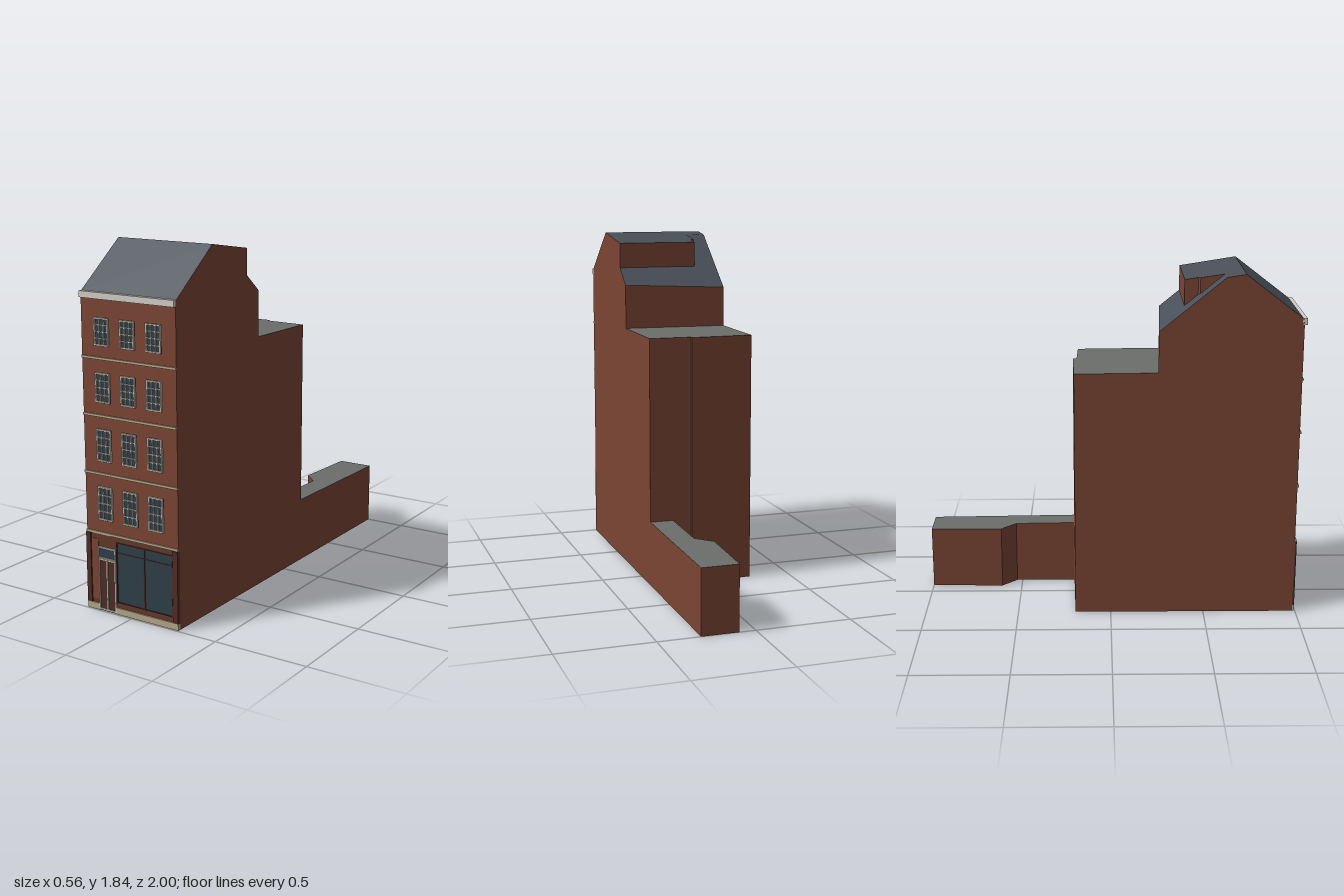
import * as THREE from 'three';
import { mergeGeometries } from 'three/addons/utils/BufferGeometryUtils.js';

const material = (color) => new THREE.MeshStandardMaterial({ color, flatShading: true });
const brick = material(0x7b4534), slate = material(0x4a5059), flatRoof = material(0x6b6e6b);
const stone = material(0xb5a788), cream = material(0xd2d0c6), glass = material(0x2f3f48);
const darkWood = material(0x4f2c24), shopBrick = material(0x64382b);

const FACE = 0.985; // plane of the street front
const HALF = 0.28;

function toMesh(name, positions, mat) {
  const g = new THREE.BufferGeometry();
  g.setAttribute('position', new THREE.Float32BufferAttribute(positions, 3));
  g.computeVertexNormals();
  const m = new THREE.Mesh(g, mat);
  m.name = name;
  return m;
}

// Block over a plan of [x, z] corners (anticlockwise from above), with sloping
// top and bottom given as heights by z; edges listed in "open" get no wall.
function block(name, plan, top, bottom, roofMat, open = []) {
  const walls = [], roof = [];
  const at = (i, height) => {
    const [x, z] = plan[i % plan.length];
    return [x, height(z), z];
  };
  plan.forEach((_, i) => {
    if (open.includes(i)) return;
    const a = at(i, bottom), b = at(i + 1, bottom), c = at(i + 1, top), d = at(i, top);
    walls.push(...a, ...b, ...c, ...a, ...c, ...d);
  });
  const outline = plan.map(([x, z]) => new THREE.Vector2(x, -z));
  for (const [i, j, k] of THREE.ShapeUtils.triangulateShape(outline, [])) {
    roof.push(...at(i, top), ...at(j, top), ...at(k, top));
    walls.push(...at(i, bottom), ...at(k, bottom), ...at(j, bottom));
  }
  const group = new THREE.Group();
  group.name = name;
  group.add(toMesh(name + 'Walls', walls, brick), toMesh(name + 'Roof', roof, roofMat));
  return group;
}

// Straight slope through two [z, y] points
const slope = ([z0, y0], [z1, y1]) => (z) => y0 + ((z - z0) * (y1 - y0)) / (z1 - z0);
const ground = () => 0;
const strip = (front, backLeft, backRight = backLeft) =>
  [[-HALF, front], [HALF, front], [HALF, backRight], [-HALF, backLeft]];

// Box standing out from the street front
function slab(x0, x1, y0, y1, out) {
  const g = new THREE.BoxGeometry(x1 - x0, y1 - y0, out + 0.01);
  return g.translate((x0 + x1) / 2, (y0 + y1) / 2, FACE + (out - 0.01) / 2);
}
function slabMesh(name, x0, x1, y0, y1, out, mat) {
  const m = new THREE.Mesh(slab(x0, x1, y0, y1, out), mat);
  m.name = name;
  return m;
}

// Border and glazing bars dividing a rectangle into columns and rows
function lattice(name, x0, x1, y0, y1, cols, rows, border, bar, out, mat) {
  const parts = [];
  for (let i = 0; i <= cols; i++) {
    const w = i % cols ? bar : border;
    const x = x0 + w / 2 + ((x1 - x0 - w) * i) / cols;
    parts.push(slab(x - w / 2, x + w / 2, y0, y1, out));
  }
  for (let j = 0; j <= rows; j++) {
    const w = j % rows ? bar : border;
    const y = y0 + w / 2 + ((y1 - y0 - w) * j) / rows;
    parts.push(slab(x0, x1, y - w / 2, y + w / 2, out - 0.0005));
  }
  const m = new THREE.Mesh(mergeGeometries(parts), mat);
  m.name = name;
  return m;
}

function sashWindow(x, y0, y1) {
  const group = new THREE.Group();
  group.name = 'sashWindow';
  const x0 = x - 0.043, x1 = x + 0.043;
  group.add(
    slabMesh('windowGlass', x0, x1, y0, y1, 0.003, glass),
    lattice('windowFrame', x0, x1, y0, y1, 3, 4, 0.007, 0.005, 0.011, cream),
  );
  return group;
}

function createShopfront() {
  const shop = new THREE.Group();
  shop.name = 'shopfront';
  shop.add(
    slabMesh('shopWall', -HALF, HALF, 0.03, 0.404, 0.002, shopBrick),
    slabMesh('plinthLeftOfDoor', -HALF, -0.205, 0, 0.034, 0.009, stone),
    slabMesh('plinthRightOfDoor', -0.1, HALF, 0, 0.034, 0.009, stone),
    slabMesh('doorPilaster', -HALF, -0.252, 0.034, 0.402, 0.01, darkWood),
    slabMesh('windowPilaster', 0.25, HALF, 0.034, 0.402, 0.01, darkWood),
    slabMesh('doorPanel', -0.252, -0.207, 0.055, 0.375, 0.004, brick),
    // Display window
    slabMesh('shopGlass', -0.088, 0.245, 0.066, 0.374, 0.004, glass),
    lattice('shopWindowFrame', -0.092, 0.248, 0.062, 0.378, 2, 1, 0.004, 0.007, 0.008, darkWood),
    slabMesh('shopTransom', -0.09, 0.246, 0.323, 0.327, 0.007, darkWood),
    // Double door with fanlight
    slabMesh('doorLeaves', -0.205, -0.1, 0, 0.275, 0.005, darkWood),
    lattice('doorFrame', -0.206, -0.099, 0.006, 0.276, 2, 1, 0.006, 0.006, 0.01, cream),
    slabMesh('fanlightGlass', -0.205, -0.1, 0.28, 0.337, 0.005, glass),
    lattice('fanlightFrame', -0.206, -0.099, 0.279, 0.338, 1, 1, 0.005, 0.005, 0.01, cream),
  );
  return shop;
}

export function createModel() {
  const model = new THREE.Group();
  model.name = 'terraceHouse';

  // Pitched roof slopes
  const frontSlope = slope([FACE, 1.612], [0.683, 1.843]);
  const upperSlope = slope([0.683, 1.843], [0.38, 1.795]);
  const breakZ = 0.585;
  const backSlope = slope([breakZ, upperSlope(breakZ)], [0.26, 1.562]);

  model.add(
    block('frontRange', strip(FACE, 0.683), frontSlope, ground, slate, [2]),
    block('ridgeRange', strip(0.683, breakZ), upperSlope, ground, slate, [0, 2]),
    block('backRange', strip(breakZ, 0.245, 0.272), backSlope, ground, slate, [0]),
    block('dormer', [
      [-0.175, breakZ], [HALF, breakZ], [HALF, 0.38], [-0.155, 0.38],
      [-0.155, 0.45], [-0.175, 0.46],
    ], upperSlope, backSlope, slate, [0]),
    // Flat-roofed rear block with a shallow step in its back wall
    block('rearBlock', [
      [-HALF, 0.245], [HALF, 0.272], [HALF, -0.175], [0.055, -0.18],
      [0.055, -0.2], [-HALF, -0.19],
    ], slope([0.26, 1.335], [-0.19, 1.33]), ground, flatRoof, [0]),
    // Long low wing in the yard
    block('yardWing', [
      [0.155, -0.178], [HALF, -0.175], [HALF, -1], [0.085, -1],
      [0.075, -0.61], [0.155, -0.53],
    ], slope([-0.18, 0.35], [-1, 0.34]), ground, flatRoof, [0]),
  );

  // Windows on four floors
  for (const [y0, y1] of [[0.48, 0.652], [0.782, 0.944], [1.078, 1.225], [1.358, 1.495]])
    for (const x of [-0.155, -0.001, 0.153]) model.add(sashWindow(x, y0, y1));

  // Floor bands and cornice
  for (const y of [0.41, 0.717, 1.011, 1.296])
    model.add(slabMesh('stoneBand', -HALF, HALF, y - 0.006, y + 0.006, 0.007, stone));
  model.add(slabMesh('cornice', -HALF, HALF, 1.585, 1.617, 0.015, cream));

  model.add(createShopfront());
  return model;
}
